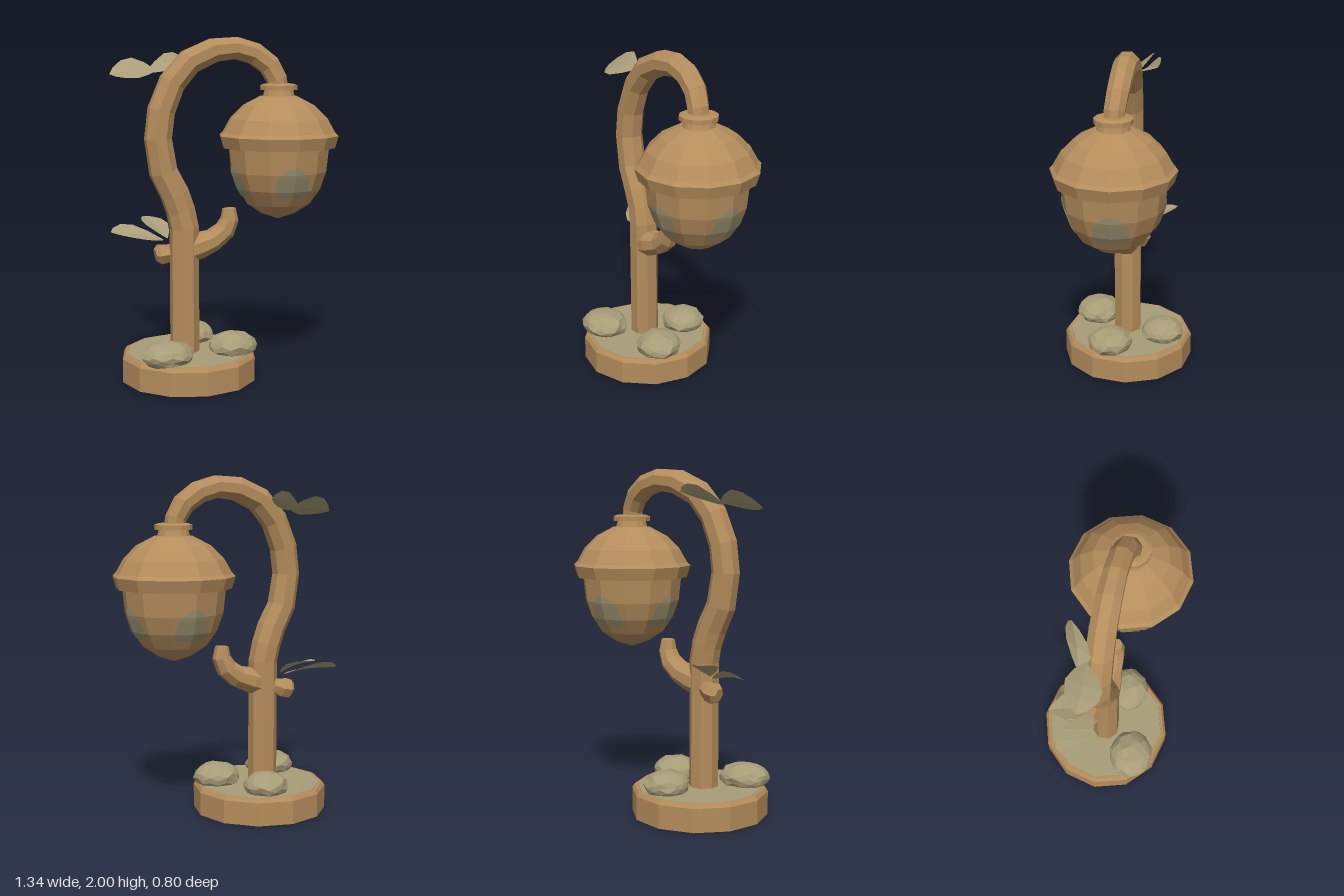
import * as THREE from 'three';

const wood = new THREE.MeshStandardMaterial({ color: 0xb58d5c });
wood.name = 'wood';
const moss = new THREE.MeshStandardMaterial({ color: 0xa99d78, side: THREE.DoubleSide });
moss.name = 'moss';
const glass = new THREE.MeshStandardMaterial({ color: 0x978d6e, side: THREE.DoubleSide });
glass.name = 'glass';

// Faceted mesh: one normal per face
function facet(name, geometry, material) {
  const g = geometry.index ? geometry.toNonIndexed() : geometry;
  g.computeVertexNormals();
  const mesh = new THREE.Mesh(g, material);
  mesh.name = name;
  return mesh;
}

function surface(positions, indices) {
  const g = new THREE.BufferGeometry();
  g.setAttribute('position', new THREE.Float32BufferAttribute(positions, 3));
  g.setIndex(indices);
  return g;
}

function lathe(points, sides = 12) {
  return new THREE.LatheGeometry(points.map(([r, y]) => new THREE.Vector2(r, y)), sides);
}

// Tapered eight-sided limb through [x, y, z, radius] stations
function limb(stations, sides = 8) {
  const pos = [], idx = [], last = stations.length - 1;
  stations.forEach(([x, y, z, r], i) => {
    const a = stations[Math.max(i - 1, 0)], b = stations[Math.min(i + 1, last)];
    const len = Math.hypot(b[0] - a[0], b[1] - a[1]);
    const tx = (b[0] - a[0]) / len, ty = (b[1] - a[1]) / len;
    for (let j = 0; j < sides; j++) {
      const t = ((j + 0.5) / sides) * Math.PI * 2;
      const c = (Math.cos(t) * r) / Math.cos(Math.PI / sides);
      const s = (Math.sin(t) * r) / Math.cos(Math.PI / sides);
      pos.push(x - ty * c, y + tx * c, z + s);
    }
  });
  const start = pos.length / 3, end = start + 1;
  pos.push(...stations[0].slice(0, 3), ...stations[last].slice(0, 3));
  for (let j = 0; j < sides; j++) {
    const k = (j + 1) % sides;
    for (let i = 0; i < last; i++) {
      const p = i * sides, q = p + sides;
      idx.push(p + j, p + k, q + j, p + k, q + k, q + j);
    }
    idx.push(start, k, j, end, last * sides + j, last * sides + k);
  }
  return surface(pos, idx);
}

// Leaf blade with a folded midrib, from base to tip
function leaf(base, tip, side, width) {
  const a = new THREE.Vector3(...base), b = new THREE.Vector3(...tip);
  const s = new THREE.Vector3(...side).normalize();
  const up = new THREE.Vector3().crossVectors(s, b.clone().sub(a)).normalize();
  if (up.y < 0) up.negate();
  const profile = [[0, 0.05], [0.2, 0.6], [0.45, 1], [0.7, 0.88], [0.9, 0.45], [1, 0.02]];
  const pos = [], idx = [];
  profile.forEach(([t, w], i) => {
    for (const k of [-1, 0, 1]) {
      const p = a.clone().lerp(b, t).addScaledVector(s, k * w * width);
      p.addScaledVector(up, Math.sin(t * Math.PI) * 0.015 + Math.abs(k) * w * 0.015);
      pos.push(p.x, p.y, p.z);
    }
    if (i) for (const k of [0, 1]) {
      const n = i * 3 + k;
      idx.push(n - 3, n - 2, n, n - 2, n + 1, n);
    }
  });
  return surface(pos, idx);
}

// Lumpy, flattened moss mound
function mound(x, z, rx, rz, seed) {
  const g = new THREE.IcosahedronGeometry(1, 2), p = g.attributes.position;
  for (let i = 0; i < p.count; i++) {
    const v = new THREE.Vector3().fromBufferAttribute(p, i);
    const k = 0.97 + 0.06 * Math.sin(v.x * 7 + seed) * Math.cos(v.z * 6 - seed + v.y * 5);
    p.setXYZ(i, x + v.x * k * rx, 0.2 + v.y * k * 0.083, z + v.z * k * rz);
  }
  return g;
}

export function createModel() {
  const model = new THREE.Group();
  model.name = 'acornLamp';

  // Round base with a mossy top
  const base = new THREE.Group();
  base.name = 'base';
  base.position.set(-0.23, 0, -0.01);
  base.add(
    facet('baseSlab', lathe([[0, 0], [0.4, 0], [0.4, 0.138], [0.385, 0.16], [0.365, 0.16], [0, 0.157]]), wood),
    facet('mossTop', new THREE.CylinderGeometry(0.365, 0.368, 0.008, 12).translate(0, 0.16, 0), moss),
  );
  model.add(base);

  // Moss mounds
  [[-0.15, -0.23, 0.135, 0.135], [-0.415, 0.19, 0.155, 0.14], [0.01, 0.09, 0.145, 0.14]].forEach(
    (m, i) => model.add(facet('mossMound', mound(...m, i * 2.1), moss)));

  // Trunk curling over into the lamp arm
  model.add(facet('trunk', limb([
    [-0.255, 0.15, -0.005, 0.08], [-0.255, 0.72, -0.005, 0.08], [-0.255, 0.9, -0.005, 0.08],
    [-0.275, 1.0, -0.01, 0.08], [-0.31, 1.1, -0.01, 0.08], [-0.375, 1.23, -0.015, 0.078],
    [-0.405, 1.42, -0.015, 0.075], [-0.385, 1.58, -0.015, 0.075], [-0.32, 1.74, -0.015, 0.073],
    [-0.215, 1.86, -0.015, 0.071], [-0.07, 1.925, -0.012, 0.068], [0.06, 1.937, -0.005, 0.063],
    [0.17, 1.905, 0.005, 0.062], [0.255, 1.84, 0.02, 0.06], [0.297, 1.76, 0.035, 0.057],
    [0.31, 1.66, 0.04, 0.057],
  ]), wood));

  // Side branch and cut knot
  model.add(facet('sideBranch', limb([
    [-0.27, 0.76, 0, 0.07], [-0.17, 0.79, 0, 0.075], [-0.08, 0.82, 0, 0.063],
    [-0.01, 0.875, 0.005, 0.058], [0.018, 0.94, 0.01, 0.05], [0.015, 1.005, 0.01, 0.037],
  ]), wood));
  model.add(facet('knot', limb([
    [-0.29, 0.76, -0.06, 0.035], [-0.34, 0.74, -0.075, 0.05],
    [-0.385, 0.735, -0.08, 0.055], [-0.41, 0.73, -0.08, 0.035],
  ], 6), wood));

  // Leaves
  [
    [[-0.4, 1.81, -0.07], [-0.67, 1.79, -0.07], [0, -0.5, 0.85], 0.11],
    [[-0.45, 1.8, -0.1], [-0.21, 1.87, -0.18], [-0.2, -0.55, 0.7], 0.085],
    [[-0.36, 0.82, -0.08], [-0.65, 0.86, -0.2], [0.25, -0.3, 0.8], 0.1],
    [[-0.34, 0.83, -0.07], [-0.43, 0.93, -0.31], [1, 0, -0.35], 0.075],
  ].forEach((l) => model.add(facet('leaf', leaf(...l), moss)));

  // Hanging acorn lamp
  const lamp = new THREE.Group();
  lamp.name = 'acorn';
  lamp.position.set(0.31, 0, 0.04);
  lamp.add(
    facet('nut', lathe([[0, 0.935], [0.1, 0.97], [0.19, 1.03], [0.25, 1.12], [0.285, 1.22], [0.302, 1.38]]), wood),
    facet('cap', lathe([[0.28, 1.36], [0.335, 1.36], [0.355, 1.43], [0.335, 1.45], [0.29, 1.53],
      [0.215, 1.605], [0.11, 1.66], [0, 1.665]]), wood),
    facet('neck', lathe([[0.1, 1.64], [0.085, 1.695], [0.11, 1.695], [0.11, 1.722], [0.085, 1.732], [0, 1.732]]), wood),
  );

  // Four small window panes lying on the nut
  const rows = [[1.08, 0.23, 0.8], [1.12, 0.256, 0.8], [1.2, 0.285, 0.65], [1.22, 0.291, 0.5], [1.26, 0.295, 0.2]];
  const pane = [], faces = [];
  rows.forEach(([y, r, t], i) => {
    for (const k of [-1, 0, 1]) pane.push(k * t * r * 0.5, y, r * (1 - Math.abs(k) * t * 0.134));
    if (i) for (const k of [0, 1]) {
      const n = i * 3 + k;
      faces.push(n - 3, n - 2, n, n - 2, n + 1, n);
    }
  });
  for (let i = 0; i < 4; i++) {
    const window = facet('windowPane', surface(pane, faces), glass);
    window.rotation.y = (i * Math.PI) / 2;
    lamp.add(window);
  }
  model.add(lamp);
  return model;
}
